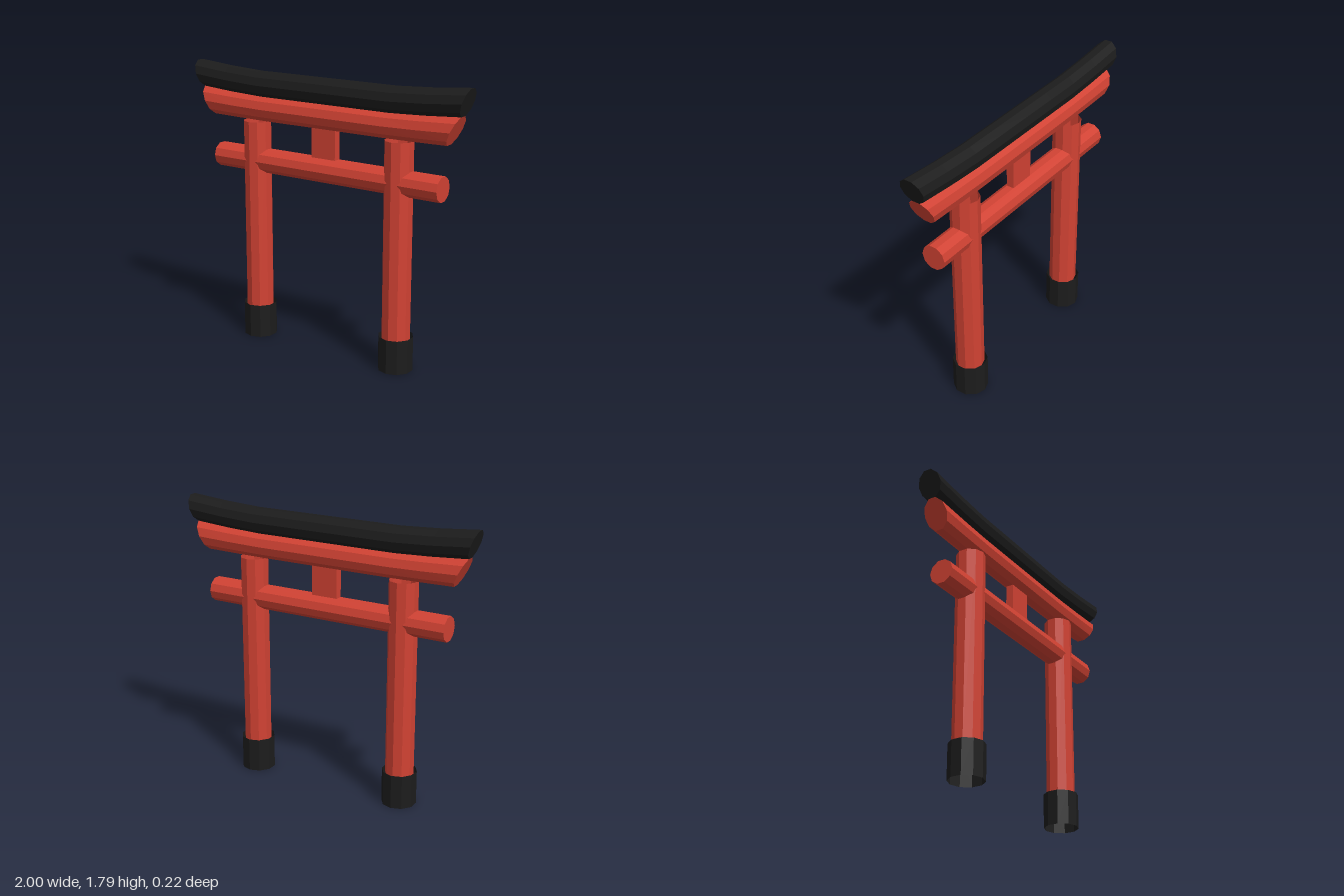
import * as THREE from 'three';

const SIDES = 10;
const material = (color) =>
  new THREE.MeshStandardMaterial({ color, flatShading: true, side: THREE.DoubleSide });

// Horizontal ten-sided log that runs straight in the middle and lifts towards slanted ends.
// mid and end give [bottom, top] heights; reach gives the half length at [bottom, top].
function curvedLog(radius, mid, end, reach) {
  const geometry = new THREE.CylinderGeometry(radius, radius, 2, SIDES, 8);
  geometry.rotateZ(-Math.PI / 2);
  const p = geometry.attributes.position;
  const span = 2 * radius * Math.cos(Math.PI / SIDES);
  for (let i = 0; i < p.count; i++) {
    const s = p.getX(i);
    const v = p.getY(i) / span + 0.5; // 0 at the bottom, 1 at the top
    const lift = Math.pow(Math.max(0, Math.abs(s) - 0.5) * 2, 1.4);
    const low = THREE.MathUtils.lerp(mid[0], end[0], lift);
    const high = THREE.MathUtils.lerp(mid[1], end[1], lift);
    p.setX(i, s * THREE.MathUtils.lerp(reach[0], reach[1], v));
    p.setY(i, THREE.MathUtils.lerp(low, high, v));
  }
  geometry.computeVertexNormals();
  return geometry;
}

// Upright open tube between two heights
function tube(radius, y0, y1) {
  return new THREE.CylinderGeometry(radius, radius, y1 - y0, SIDES, 1, true)
    .translate(0, (y0 + y1) / 2, 0);
}

export function createModel() {
  const group = new THREE.Group();
  const red = material(0xd14233);
  const black = material(0x1c1c1c);
  const add = (name, geometry, mat, x = 0) => {
    const mesh = new THREE.Mesh(geometry, mat);
    mesh.name = name;
    mesh.position.x = x;
    group.add(mesh);
  };

  // Pillars standing in dark sleeves
  for (const [side, x] of [['left', 0.53], ['right', -0.53]]) {
    add(side + 'Pillar', tube(0.09, 0.2, 1.445), red, x);
    add(side + 'PillarSleeve', tube(0.11, 0, 0.22), black, x);
  }

  // Tie beam through the pillars, with a short strut above its middle
  const tie = new THREE.CylinderGeometry(0.079, 0.079, 1.66, SIDES);
  tie.rotateZ(-Math.PI / 2).translate(0, 1.19, 0);
  add('tieBeam', tie, red);
  add('centreStrut', new THREE.BoxGeometry(0.175, 0.195, 0.05).translate(0, 1.3625, 0), red);

  // Red lintel and dark roof beam
  add('lintel', curvedLog(0.079, [1.45, 1.61], [1.456, 1.63], [0.86, 0.945]), red);
  add('roofBeam', curvedLog(0.079, [1.6, 1.76], [1.63, 1.795], [0.945, 1]), black);

  return group;
}
